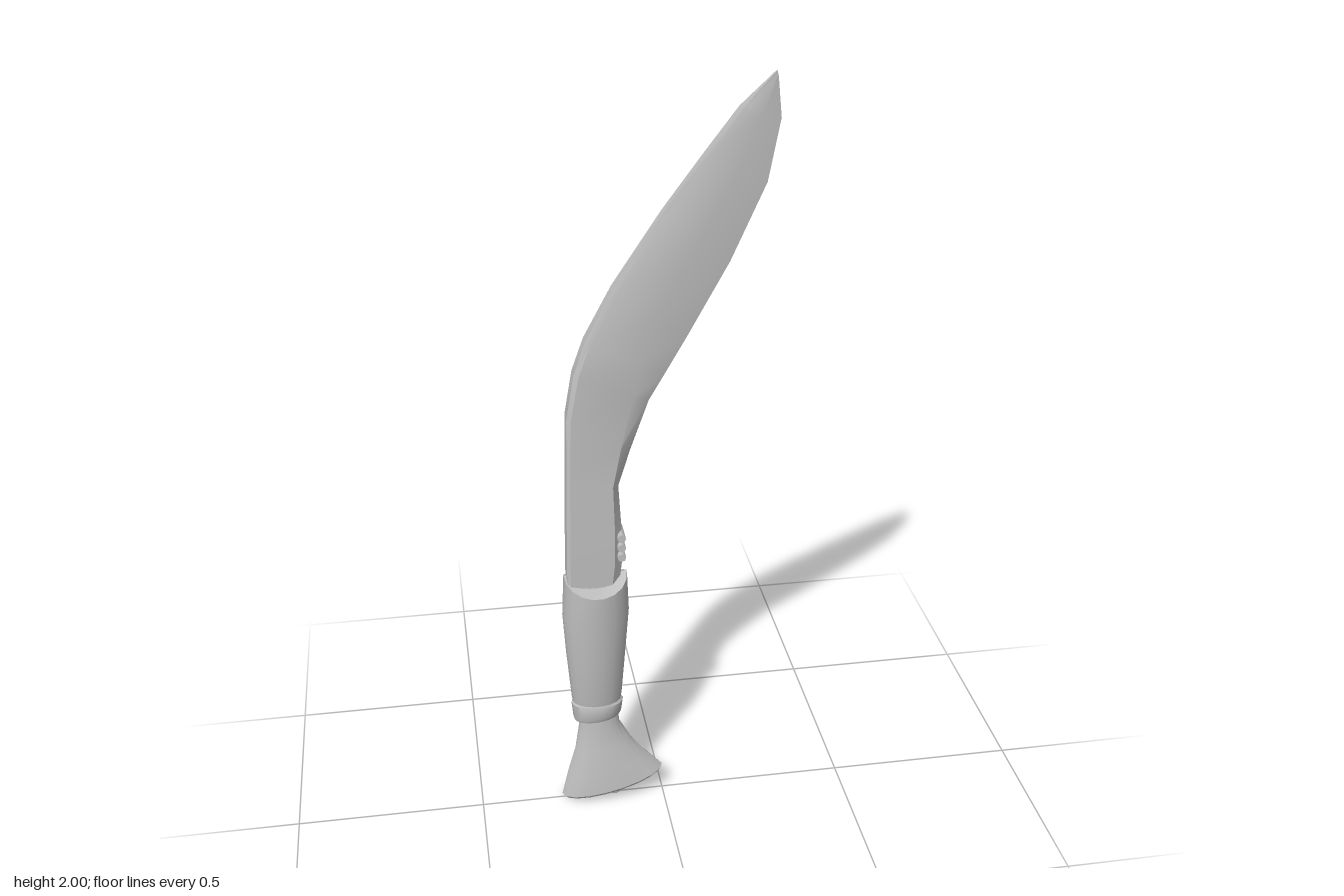
import * as THREE from 'three';
import { toCreasedNormals } from 'three/addons/utils/BufferGeometryUtils.js';

const steel = new THREE.MeshStandardMaterial({ color: 0xc0c0c0 });
steel.name = 'pale grey';

// Skin a stack of rings (counter-clockwise from above, lowest first) and cap both ends
function loft(rings, crease) {
  const n = rings[0].length, pos = [];
  const tri = (...pts) => pts.forEach((p) => pos.push(p[0], p[1], p[2]));
  for (let k = 0; k < rings.length - 1; k++) {
    for (let i = 0; i < n; i++) {
      const j = (i + 1) % n, lo = rings[k], hi = rings[k + 1];
      tri(lo[i], lo[j], hi[j]);
      tri(lo[i], hi[j], hi[i]);
    }
  }
  const mid = (r) => [0, 1, 2].map((a) => r.reduce((s, p) => s + p[a], 0) / n);
  const bottom = rings[0], top = rings[rings.length - 1];
  for (let i = 0; i < n; i++) {
    const j = (i + 1) % n;
    tri(mid(bottom), bottom[j], bottom[i]);
    tri(mid(top), top[i], top[j]);
  }
  const g = new THREE.BufferGeometry();
  g.setAttribute('position', new THREE.Float32BufferAttribute(pos, 3));
  return toCreasedNormals(g, crease);
}

// Oval ring from x0 to x1; tilt raises the +x side, roof drops the ±z sides
function oval(x0, x1, halfZ, y, tilt = 0, roof = 0, n = 18) {
  const c = (x0 + x1) / 2, r = (x1 - x0) / 2;
  return Array.from({ length: n }, (_, i) => {
    const a = (i / n) * Math.PI * 2, z = -Math.sin(a) * halfZ;
    return [c + Math.cos(a) * r, y + Math.cos(a) * tilt - Math.abs(z) * roof, z];
  });
}

// Blade section from spine to cutting edge: b is where the bevel starts, e the edge half thickness
function bladeRing([sx, sy, ex, ey, t, b, e]) {
  const at = (f, z) => [sx + (ex - sx) * f, sy + (ey - sy) * f, z];
  return [
    at(1, e), at(1, -e), at(b, -t * 0.9), at(0.06, -t),
    at(0, -t * 0.75), at(0, t * 0.75), at(0.06, t), at(b, t * 0.9),
  ];
}

export function createModel() {
  const model = new THREE.Group();
  const add = (name, geometry) => {
    const mesh = new THREE.Mesh(geometry, steel);
    mesh.name = name;
    model.add(mesh);
    return mesh;
  };

  // Forward-curving blade
  add('blade', loft([
    [-0.25, 0.64, -0.12, 0.64, 0.033, 0.85, 0.012],
    [-0.25, 0.76, -0.105, 0.75, 0.033, 0.85, 0.006],
    [-0.248, 0.84, -0.105, 0.84, 0.032, 0.86, 0.006],
    [-0.244, 1.02, -0.112, 0.97, 0.029, 0.88, 0.004],
    [-0.24, 1.17, -0.08, 1.07, 0.027, 0.84, 0.002],
    [-0.22, 1.285, -0.033, 1.2, 0.025, 0.78, 0.001],
    [-0.19, 1.37, 0.005, 1.265, 0.023, 0.65, 0.001],
    [-0.12, 1.5, 0.06, 1.36, 0.021, 0.58, 0.001],
    [0, 1.68, 0.165, 1.55, 0.017, 0.55, 0.001],
    [0.1, 1.815, 0.25, 1.74, 0.013, 0.55, 0.001],
    [0.18, 1.92, 0.278, 1.89, 0.01, 0.55, 0.001],
    [0.264, 2, 0.268, 1.985, 0.002, 0.5, 0.001],
  ].map(bladeRing), 0.45));

  // Small cross ridges at the foot of the cutting edge
  for (const y of [0.775, 0.803, 0.831]) {
    const g = new THREE.CylinderGeometry(0.011, 0.011, 0.07, 8);
    const ridge = add('notchRidge', g);
    ridge.rotation.x = Math.PI / 2;
    ridge.position.set(-0.109, y, 0);
  }

  // Oval grip with a roof-shaped top
  add('grip', loft([
    oval(-0.24, -0.116, 0.038, 0.3),
    oval(-0.246, -0.11, 0.046, 0.34),
    oval(-0.257, -0.098, 0.06, 0.48),
    oval(-0.264, -0.088, 0.07, 0.6),
    oval(-0.258, -0.092, 0.075, 0.718, 0, 0.5),
  ], 0.6));

  // Collar below the grip
  add('collar', loft([
    oval(-0.24, -0.117, 0.037, 0.268, 0.006),
    oval(-0.243, -0.111, 0.042, 0.28, 0.006),
    oval(-0.247, -0.107, 0.045, 0.318),
    oval(-0.242, -0.113, 0.042, 0.325),
  ], 0.6));

  // Flared pommel with a slanted base
  add('pommel', loft([
    oval(-0.274, -0.008, 0.05, 0.038, 0.032),
    oval(-0.28, 0, 0.056, 0.047, 0.034),
    oval(-0.262, -0.045, 0.051, 0.11, 0.02),
    oval(-0.24, -0.085, 0.041, 0.175, 0.008),
    oval(-0.228, -0.118, 0.033, 0.245),
    oval(-0.226, -0.122, 0.032, 0.285),
  ], 0.6));

  // Rivet under the pommel
  const rivet = add('rivet', new THREE.CylinderGeometry(0.026, 0.015, 0.045, 8));
  rivet.position.set(-0.137, 0.026, 0);
  rivet.rotation.z = 0.23;

  return model;
}
